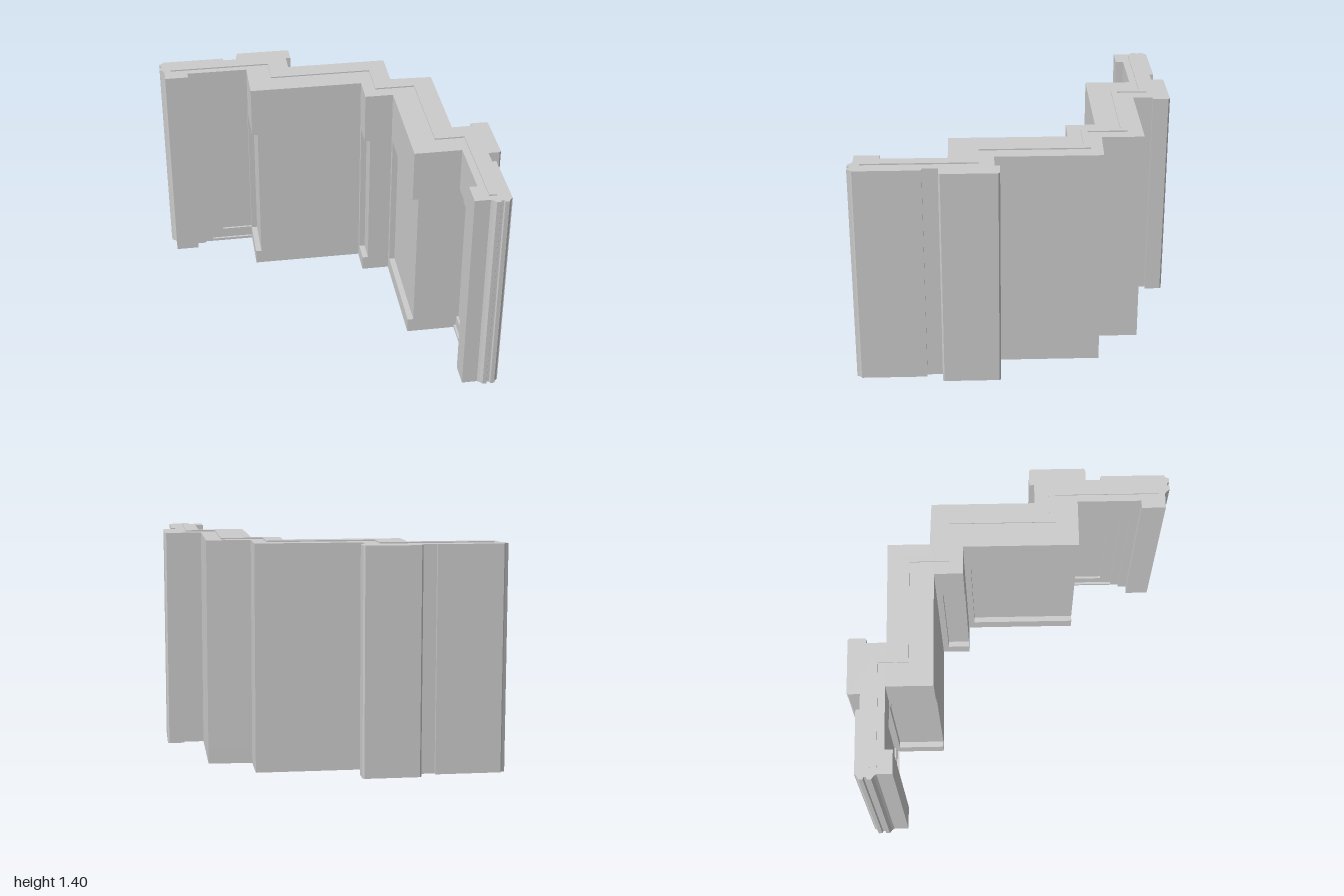
import * as THREE from 'three';
import { mergeGeometries } from 'three/addons/utils/BufferGeometryUtils.js';

const BOTTOM = 0.012, TOP = 1.396;

// The wall plan is symmetric about a diagonal: reflect (x, z) to (-z, -x)
const reflect = (pts) => pts.map(([x, z]) => [-z, -x]);

// Extrude a plan given as (x, z) points between two heights
function slab(plan, y0, y1) {
  const shape = new THREE.Shape(plan.map(([x, z]) => new THREE.Vector2(x, -z)));
  const g = new THREE.ExtrudeGeometry(shape, { depth: y1 - y0, bevelEnabled: false });
  g.rotateX(-Math.PI / 2);
  g.translate(0, y0, 0);
  return g;
}

// Stepped niche frames: outer edge, bottom, top, recessed face
const niche = [
  [-0.765, BOTTOM, 1.11, -0.785],
  [-0.71, 0.03, 1.07, -0.8],
  [-0.635, 0.1, 1.01, -0.815],
];

// Side face at x running from z0 forward to z1, with its front part sunk
const sideFace = (x, z0, z1, sunk) =>
  sunk
    ? [[x, z0], [x, z0 + 0.04], [x + 0.037, z0 + 0.04], [x + 0.037, z1]]
    : [[x, z0], [x, z1]];

// Plan of the wall at one height
function planAt(y) {
  const sunk = y > 0.11 && y < 1.06;

  // back of the left arm, with its back pilaster
  const back = [
    [-0.97, -0.945], [-0.57, -0.945], [-0.57, -0.92], [-0.475, -0.92],
    [-0.475, -0.99], [-0.465, -1], [-0.13, -1], [-0.12, -0.99],
    [-0.12, -0.89], [-0.15, -0.89], [-0.15, -0.765], [0.495, -0.765],
  ];

  // ridged joint on the end of the arm
  const tip = [
    [-0.97, -0.94], [-0.98, -0.93], [-1, -0.92], [-1, -0.895], [-0.985, -0.89],
    [-0.985, -0.875], [-1, -0.87], [-1, -0.845], [-0.98, -0.83], [-0.97, -0.815],
  ];

  // front of the arm: end post, then the niche steps
  const front = [[-0.97, -0.72], [-0.82, -0.72], [-0.82, -0.77]];
  let depth = -0.77;
  for (const [x, y0, y1, z] of niche) {
    if (y > y0 && y < y1) {
      front.push([x, depth], [x, z]);
      depth = z;
    }
  }

  // listed from the left arm's back round to the right arm and home along the front
  return [
    ...back, [0.495, -0.505],
    ...reflect(back).reverse(),
    ...reflect(tip),
    ...reflect(front), [-depth, 0.42],
    ...sideFace(0.475, -0.3, 0.42, sunk).reverse(),
    ...sideFace(0.295, -0.48, -0.3, sunk).reverse(),
    ...sideFace(-0.43, depth, -0.48, sunk).reverse(),
    ...front.reverse(),
    ...tip.reverse(),
  ];
}

export function createModel() {
  const group = new THREE.Group();
  const material = new THREE.MeshStandardMaterial({ color: 0xcccccc, flatShading: true });

  // Stepped wall, layered between heights where its plan changes
  const heights = [BOTTOM, 0.03, 0.1, 0.11, 1.01, 1.06, 1.07, 1.11, TOP];
  const layers = heights.slice(1).map((y1, i) => slab(planAt((heights[i] + y1) / 2), heights[i], y1));
  const wall = new THREE.Mesh(mergeGeometries(layers), material);
  wall.name = 'steppedWall';
  group.add(wall);

  // Thin raised strip along the middle of the top and bottom
  const innerLine = [
    [-0.93, -0.815], [-0.28, -0.815], [-0.28, -0.63], [0.375, -0.63], [0.375, -0.385],
    [0.63, -0.385], [0.63, 0.28], [0.815, 0.28], [0.815, 0.93],
  ];
  const outerLine = [
    [-0.93, -0.86], [-0.24, -0.86], [-0.24, -0.67], [0.415, -0.67], [0.415, -0.425],
    [0.67, -0.425], [0.67, 0.24], [0.86, 0.24], [0.86, 0.93],
  ];
  const band = [...innerLine, ...outerLine.reverse()];
  for (const [name, y0, y1] of [['topStrip', TOP - 0.01, 1.404], ['bottomStrip', 0.004, BOTTOM + 0.01]]) {
    const strip = new THREE.Mesh(slab(band, y0, y1), material);
    strip.name = name;
    group.add(strip);
  }
  return group;
}
